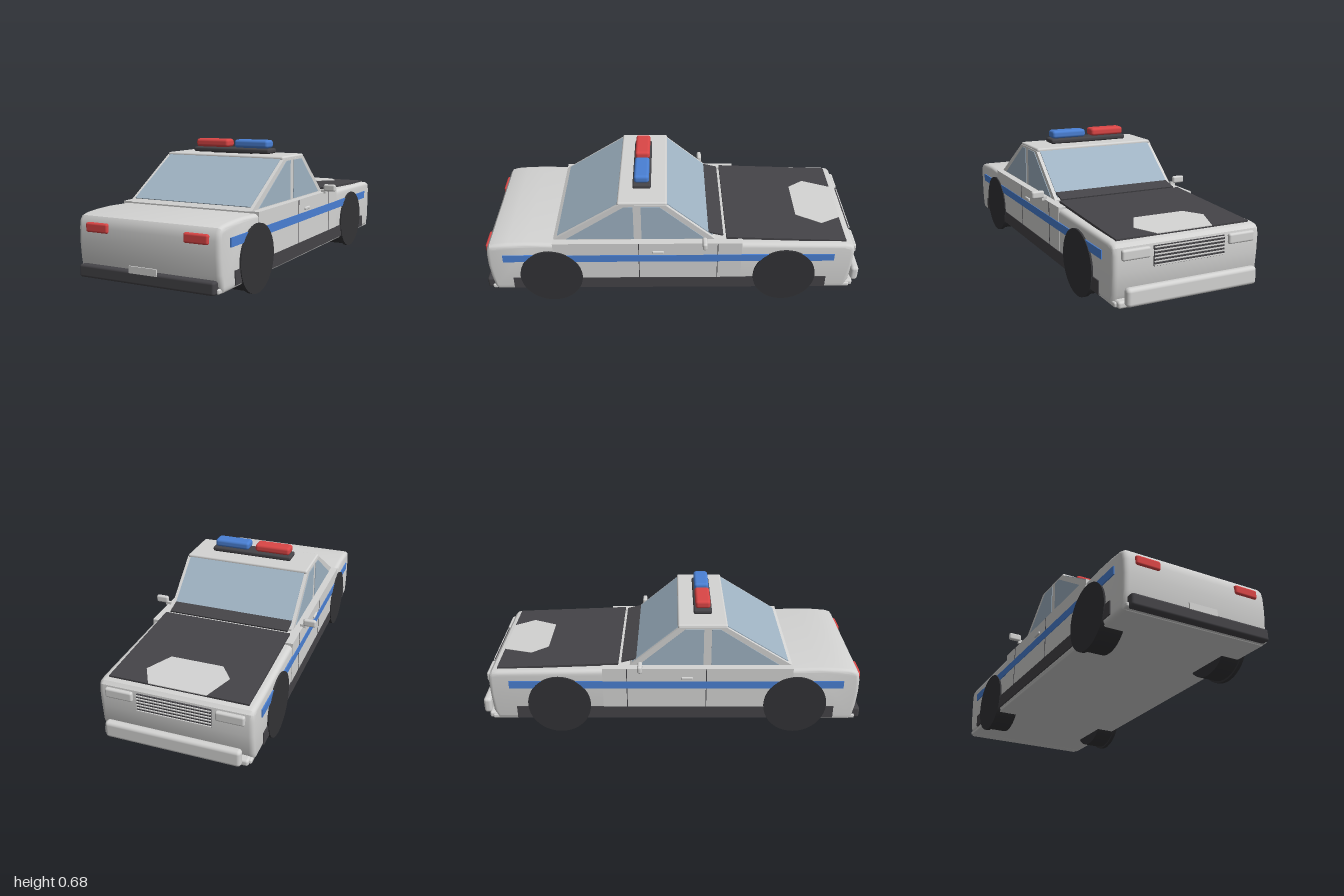
import * as THREE from 'three';
import { toCreasedNormals } from 'three/addons/utils/BufferGeometryUtils.js';
import { RoundedBoxGeometry } from 'three/addons/geometries/RoundedBoxGeometry.js';

const material = (name, color) => {
  const m = new THREE.MeshStandardMaterial({ color });
  m.name = name;
  return m;
};

export function createModel() {
  const car = new THREE.Group();
  car.name = 'patrolCar';
  const white = material('white paint', 0xd4d4d3);
  const dark = material('dark trim', 0x454448);
  const black = material('black rubber', 0x333336);
  const glass = material('blue grey glass', 0x9fb3c3);
  const red = material('red lamp', 0xdb4646);
  const blue = material('blue paint', 0x4a80d4);

  const add = (name, geometry, mat) => {
    const mesh = new THREE.Mesh(geometry, mat);
    mesh.name = name;
    car.add(mesh);
    return mesh;
  };
  // Boxes given by their limits on each axis
  const box = (name, mat, [x0, x1], [y0, y1], [z0, z1], radius = 0) => {
    const size = [x1 - x0, y1 - y0, z1 - z0];
    const geo = radius
      ? new RoundedBoxGeometry(...size, 3, radius)
      : new THREE.BoxGeometry(...size);
    geo.translate((x0 + x1) / 2, (y0 + y1) / 2, (z0 + z1) / 2);
    return add(name, geo, mat);
  };
  // The same box on both sides of the car
  const pair = (name, mat, [x0, x1], y, z, radius) => {
    box(name + 'Left', mat, [x0, x1], y, z, radius);
    box(name + 'Right', mat, [-x1, -x0], y, z, radius);
  };
  const shapeOf = (pts) => new THREE.Shape(pts.map((p) => new THREE.Vector2(...p)));
  // A side profile of (z, y) points extruded across x
  const profile = (name, mat, pts, x0, x1, bevel = 0) => {
    const geo = new THREE.ExtrudeGeometry(shapeOf(pts), {
      depth: x1 - x0 - 2 * bevel, bevelEnabled: bevel > 0, bevelSize: bevel * 0.8,
      bevelOffset: -bevel * 0.8, bevelThickness: bevel, bevelSegments: 4,
    });
    geo.rotateY(-Math.PI / 2);
    geo.translate(x1 - bevel, 0, 0);
    return add(name, toCreasedNormals(geo, 0.55), mat);
  };
  // A sloping plate: outline in (x, distance along slope), running from one (z, y) to another
  const slope = (name, mat, pts, [z0, y0], [z1, y1], depth, lift = 0) => {
    const geo = new THREE.ExtrudeGeometry(shapeOf(pts), { depth, bevelEnabled: false });
    const across = new THREE.Vector3(1, 0, 0);
    const along = new THREE.Vector3(0, y1 - y0, z1 - z0).normalize();
    const normal = across.clone().cross(along);
    geo.translate(0, 0, lift);
    geo.applyMatrix4(new THREE.Matrix4().makeBasis(across, along, normal).setPosition(0, y0, z0));
    return add(name, geo, mat);
  };
  const rect = (halfWidth, length) =>
    [[-halfWidth, 0], [halfWidth, 0], [halfWidth, length], [-halfWidth, length]];

  // Lower body with rounded nose and tail
  profile('body', white, [
    [-0.915, 0.075], [0.94, 0.065], [0.957, 0.09], [0.968, 0.15], [0.975, 0.23], [0.974, 0.3],
    [0.968, 0.335], [0.955, 0.353], [0.925, 0.362], [0.86, 0.368], [0.76, 0.371], [0.6, 0.366],
    [-0.28, 0.366], [-0.89, 0.356], [-0.925, 0.35], [-0.94, 0.335], [-0.946, 0.3],
    [-0.944, 0.22], [-0.936, 0.12],
  ], -0.384, 0.384, 0.025);
  box('floorPlate', white, [-0.375, 0.375], [0.068, 0.092], [-0.945, 0.97], 0.008);

  // Door panels, sills, stripes, gaps and handles
  pair('doorPanel', white, [0.34, 0.387], [0.1, 0.376], [-0.355, 0.625]);
  pair('sill', dark, [0.33, 0.389], [0.083, 0.15], [-0.81, 0.85]);
  pair('stripe', blue, [0.383, 0.39], [0.26, 0.302], [-0.84, 0.89]);
  for (const z of [-0.23, 0.18]) pair('doorGap', dark, [0.384, 0.3885], [0.15, 0.374], [z - 0.002, z + 0.002]);
  pair('doorHandle', white, [0.384, 0.396], [0.313, 0.329], [0.05, 0.11], 0.005);

  // Cabin, roof and glass
  profile('cabin', white, [[0.625, 0.36], [0.625, 0.374], [0.28, 0.59], [0.04, 0.59], [-0.215, 0.376], [-0.215, 0.36]], -0.348, 0.348);
  box('roof', white, [-0.345, 0.345], [0.58, 0.603], [0.032, 0.285], 0.01);
  slope('rearWindow', glass, rect(0.33, 0.376), [0.602, 0.39], [0.283, 0.589], 0.004, -0.001);
  slope('windshield', glass, rect(0.33, 0.31), [0.036, 0.587], [-0.215, 0.376], 0.004);
  const sideWindows = [
    [[0.205, 0.38], [0.555, 0.38], [0.25, 0.58], [0.205, 0.58]],
    [[-0.165, 0.38], [0.165, 0.38], [0.165, 0.58], [0.07, 0.58]],
  ];
  for (const pts of sideWindows) {
    profile('sideWindowLeft', glass, pts, 0.346, 0.351);
    profile('sideWindowRight', glass, pts, -0.351, -0.346);
  }

  // Hood with its pale patch, and the cowl below the windshield
  const hoodBack = [-0.275, 0.386], hoodFront = [-0.9, 0.361];
  slope('hood', dark, rect(0.348, 0.626), hoodBack, hoodFront, 0.012, -0.01);
  slope('hoodPatch', white, [
    [-0.145, 0.627], [-0.2, 0.475], [-0.135, 0.39], [0.135, 0.39], [0.205, 0.52], [0.145, 0.627],
  ], hoodBack, hoodFront, 0.004);
  slope('cowl', dark, rect(0.33, 0.08), [-0.18, 0.402], [-0.258, 0.382], 0.008);

  // Nose: headlamps, barred grille and bumper
  pair('headlamp', white, [0.205, 0.345], [0.278, 0.328], [-0.96, -0.935], 0.01);
  box('grille', dark, [-0.185, 0.185], [0.232, 0.325], [-0.951, -0.935]);
  for (let i = 0; i < 6; i++) {
    const y = 0.235 + i * 0.0165;
    box('grilleBar', white, [-0.185, 0.185], [y, y + 0.005], [-0.957, -0.948]);
  }
  box('frontBumper', white, [-0.34, 0.34], [0.078, 0.165], [-1, -0.957], 0.018);
  box('frontBumperMount', white, [-0.365, 0.365], [0.066, 0.1], [-0.965, -0.9], 0.012);

  // Tail: lamps, bumper and blank plate
  pair('tailLamp', red, [0.205, 0.33], [0.28, 0.326], [0.955, 0.986], 0.01);
  box('rearBumper', dark, [-0.365, 0.365], [0.066, 0.127], [0.95, 0.997], 0.012);
  box('rearPlate', white, [-0.075, 0.075], [0.118, 0.151], [0.993, 1]);

  // Mirrors on small feet
  pair('mirror', white, [0.387, 0.455], [0.382, 0.421], [-0.172, -0.148], 0.01);
  pair('mirrorFoot', white, [0.372, 0.4], [0.37, 0.39], [-0.167, -0.153]);

  // Roof light bar
  box('lightBarBase', dark, [-0.227, 0.227], [0.606, 0.632], [0.115, 0.21], 0.01);
  box('lightBarMount', dark, [-0.12, 0.12], [0.595, 0.61], [0.135, 0.19]);
  box('redBeacon', red, [-0.217, -0.02], [0.633, 0.676], [0.124, 0.202], 0.015);
  box('blueBeacon', blue, [0.018, 0.215], [0.633, 0.676], [0.124, 0.202], 0.015);

  // Wheels: tyre with a wider outer disc
  for (const z of [-0.585, 0.645]) {
    for (const side of [-1, 1]) {
      const cylinder = (name, radius, x0, x1) => {
        const geo = new THREE.CylinderGeometry(radius, radius, x1 - x0, 40);
        geo.rotateZ(Math.PI / 2);
        geo.translate(side * (x0 + x1) / 2, 0.164, z);
        add(name, geo, black);
      };
      cylinder('tyre', 0.155, 0.272, 0.376);
      cylinder('wheelDisc', 0.164, 0.374, 0.393);
    }
  }
  return car;
}
